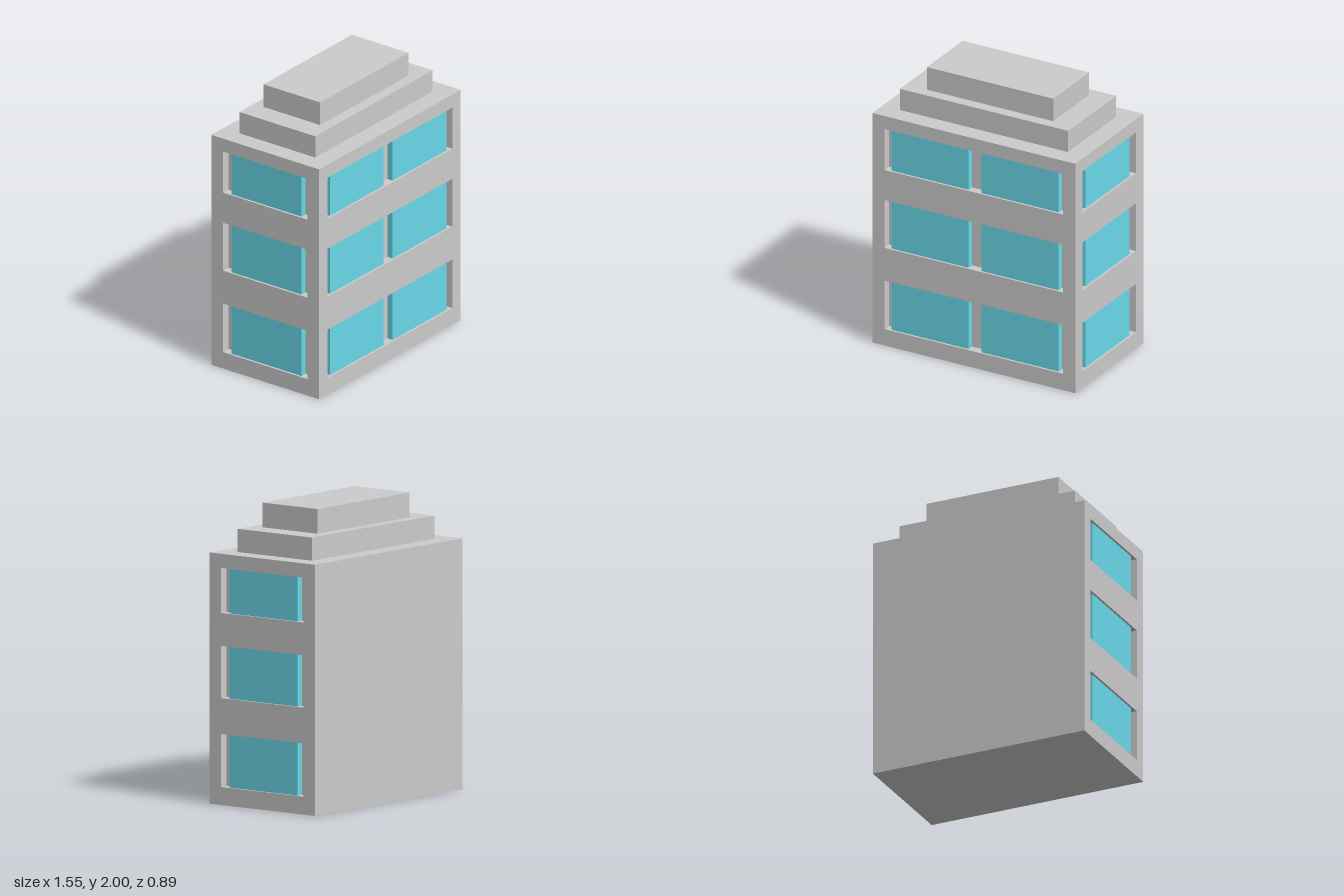
import * as THREE from 'three';

const W = 1.555, D = 0.895, H = 1.68;   // main block
const RECESS = 0.06, GLASS_SETBACK = 0.015;
const ROWS = [[0.12, 0.475], [0.715, 1.065], [1.285, 1.585]];

const grey = new THREE.MeshStandardMaterial({ color: 0xcccccc });
const glass = new THREE.MeshStandardMaterial({ color: 0x6ad9ea });

function add(parent, name, geometry, material, x = 0, y = 0, z = 0) {
  const mesh = new THREE.Mesh(geometry, material);
  mesh.name = name;
  mesh.position.set(x, y, z);
  parent.add(mesh);
  return mesh;
}

// Counter-clockwise rectangle as a list of points
const rect = (x0, y0, x1, y1) =>
  [[x0, y0], [x1, y0], [x1, y1], [x0, y1]].map(([x, y]) => new THREE.Vector2(x, y));

// Inward-facing box, open at the front: the jambs, sill, head and back of a recess
function recessGeometry(w, h) {
  const g = new THREE.BoxGeometry(w, h, RECESS);
  const index = Array.from(g.index.array);
  index.splice(24, 6);
  g.setIndex(index.reverse());
  g.clearGroups();
  const n = g.attributes.normal;
  for (let i = 0; i < n.count; i++) n.setXYZ(i, -n.getX(i), -n.getY(i), -n.getZ(i));
  return g;
}

// A wall facing +z at z = 0, with one recess per floor holding the given panes
function windowWall(name, width, halfOpening, panes) {
  const wall = new THREE.Group();
  wall.name = name;
  const shape = new THREE.Shape(rect(-width / 2, 0, width / 2, H));
  for (const [y0, y1] of ROWS) {
    const h = y1 - y0, yc = (y0 + y1) / 2;
    shape.holes.push(new THREE.Path(rect(-halfOpening, y0, halfOpening, y1).reverse()));
    add(wall, 'windowRecess', recessGeometry(2 * halfOpening, h), grey, 0, yc, -RECESS / 2);
    for (const [x0, x1] of panes) {
      const depth = RECESS - GLASS_SETBACK;
      add(wall, 'windowPane', new THREE.BoxGeometry(x1 - x0, h, depth), glass,
        (x0 + x1) / 2, yc, -RECESS + depth / 2);
    }
  }
  add(wall, 'wallFace', new THREE.ShapeGeometry(shape), grey);
  return wall;
}

export function createModel() {
  const model = new THREE.Group();
  model.name = 'officeBuilding';

  // Front wall with paired panes
  const front = windowWall('frontWall', W, 0.685, [[-0.64, -0.05], [0.05, 0.64]]);
  front.position.z = D / 2;
  model.add(front);

  // Side walls with single panes
  for (const s of [1, -1]) {
    const side = windowWall(s > 0 ? 'leftWall' : 'rightWall', D, 0.35, [[-0.29, 0.29]]);
    side.position.x = s * W / 2;
    side.rotation.y = s * Math.PI / 2;
    model.add(side);
  }

  // Plain back wall, roof and underside
  add(model, 'backWall', new THREE.PlaneGeometry(W, H), grey, 0, H / 2, -D / 2).rotation.y = Math.PI;
  add(model, 'roof', new THREE.PlaneGeometry(W, D), grey, 0, H, 0).rotation.x = -Math.PI / 2;
  add(model, 'underside', new THREE.PlaneGeometry(W, D), grey).rotation.x = Math.PI / 2;

  // Stepped tiers on the roof
  add(model, 'lowerRoofTier', new THREE.BoxGeometry(1.29, 0.155, 0.63), grey, 0, H + 0.0775, 0);
  add(model, 'upperRoofTier', new THREE.BoxGeometry(0.97, 0.165, 0.47), grey, 0, 1.9175, 0);

  return model;
}
